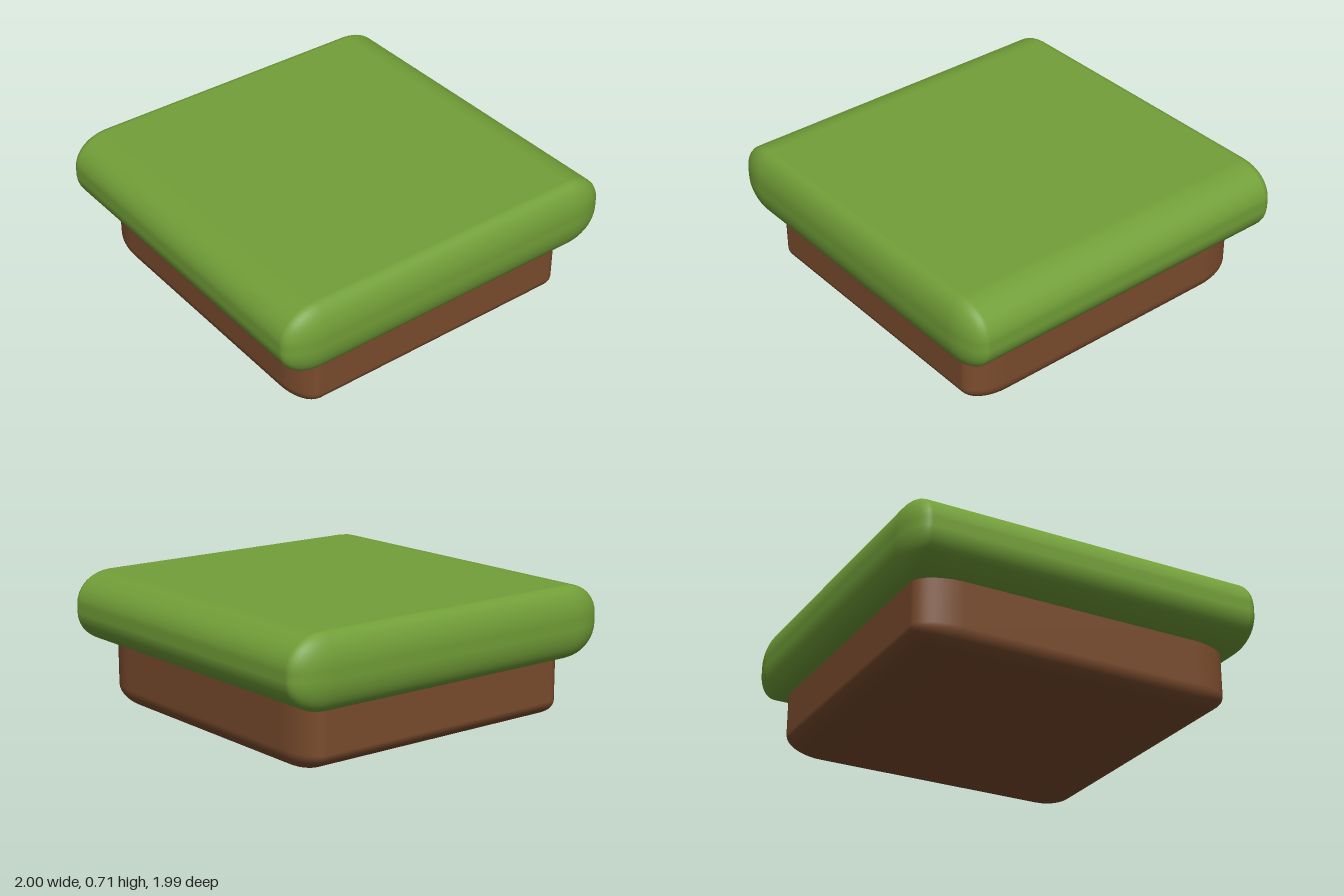
import * as THREE from 'three';
import { RoundedBoxGeometry } from 'three/addons/geometries/RoundedBoxGeometry.js';

// Box whose rounded edges have a different radius along each axis
function softBox(name, size, radii, bottom, material) {
  const [w, h, d] = size;
  const [rx, ry, rz] = radii;
  const geometry = new RoundedBoxGeometry(w / rx, h / ry, d / rz, 5, 1);
  geometry.scale(rx, ry, rz);
  const mesh = new THREE.Mesh(geometry, material);
  mesh.name = name;
  mesh.position.y = bottom + h / 2;
  return mesh;
}

export function createModel() {
  const grass = new THREE.MeshStandardMaterial({ color: 0x729f38 });
  grass.name = 'grass green';
  const soil = new THREE.MeshStandardMaterial({ color: 0x7a4c2d });
  soil.name = 'soil brown';

  const group = new THREE.Group();
  group.name = 'grassTile';
  // Soil base, its top sunk into the turf
  group.add(softBox('soilBase', [1.69, 0.5, 1.76], [0.11, 0.1, 0.22], 0, soil));
  // Overhanging turf slab
  group.add(softBox('grassTop', [2, 0.385, 1.99], [0.21, 0.17, 0.095], 0.33, grass));
  return group;
}
